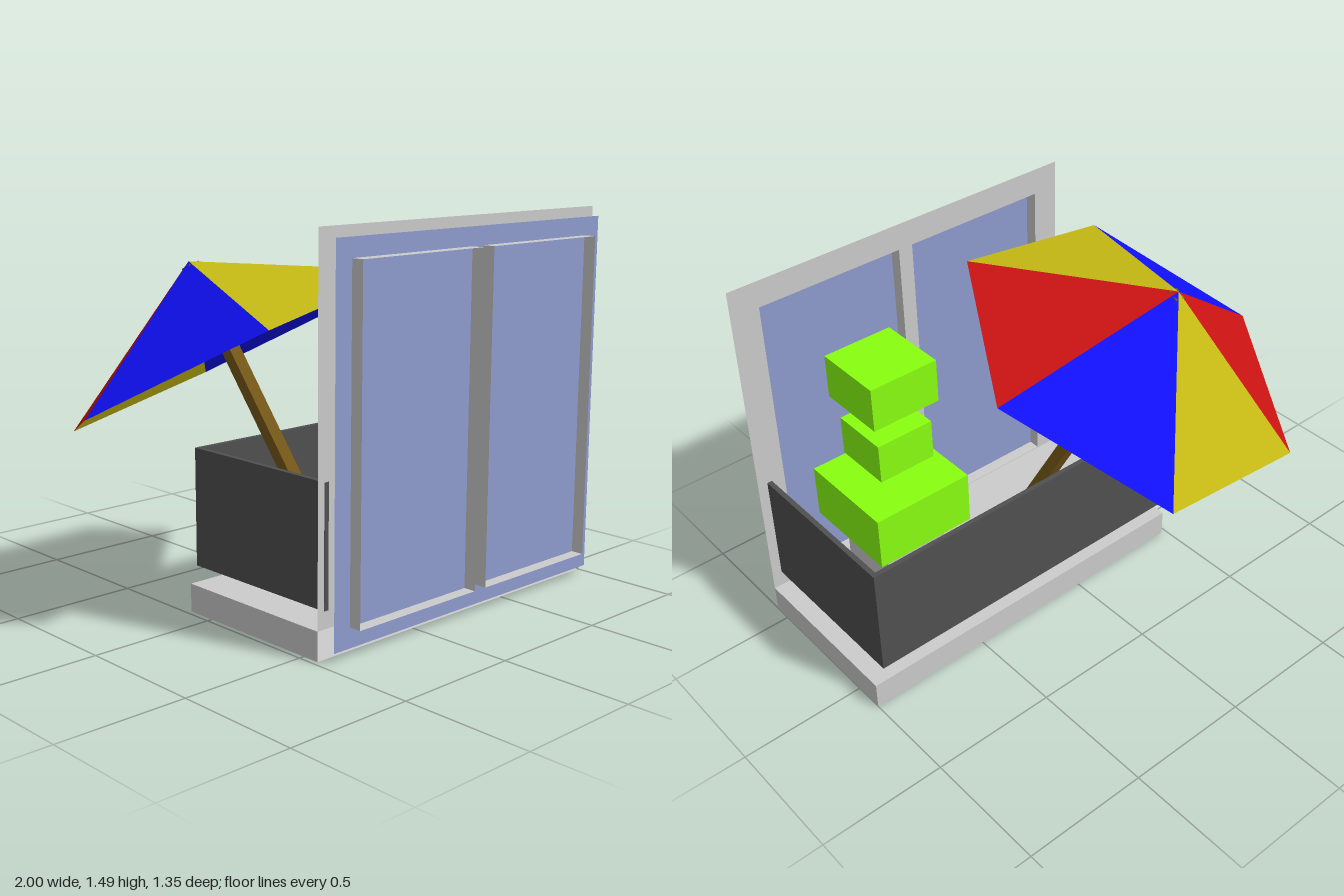
import * as THREE from 'three';

const V = (x, y, z) => new THREE.Vector3(x, y, z);

export function createModel() {
  const model = new THREE.Group();
  const mat = (color) => new THREE.MeshStandardMaterial({ color, flatShading: true, side: THREE.DoubleSide });
  const grey = mat(0xcccccc), dark = mat(0x505050), glass = mat(0x8e9cce);
  const green = mat(0x88ff10), brown = mat(0x785a18);
  const red = mat(0xcc1212), yellow = mat(0xc6ba14), blue = mat(0x1010ff);

  const add = (name, geometry, material, parent = model) => {
    const mesh = new THREE.Mesh(geometry, material);
    mesh.name = name;
    parent.add(mesh);
    return mesh;
  };
  // Box between two corners; faces listed in open (0..5 = +x -x +y -y +z -z) are left out
  const box = (name, material, [x0, x1], [y0, y1], [z0, z1], open = [], parent = model) => {
    const g = new THREE.BoxGeometry(x1 - x0, y1 - y0, z1 - z0);
    const index = Array.from(g.index.array).filter((_, i) => !open.includes(Math.floor(i / 6)));
    g.setIndex(index);
    g.clearGroups();
    g.translate((x0 + x1) / 2, (y0 + y1) / 2, (z0 + z1) / 2);
    return add(name, g, material, parent);
  };
  const rect = (path, [x0, x1], [y0, y1]) =>
    path.moveTo(x0, y0).lineTo(x1, y0).lineTo(x1, y1).lineTo(x0, y1).closePath();

  // Floor slab, open toward the wall
  box('floor', grey, [-0.48, 1], [0, 0.11], [-0.12, 0.57], [4]);

  // Wall sheet with two window openings, each lined by an open frame
  const windows = [[-0.375, 0.225], [0.285, 0.885]];
  const windowY = [0.113, 1.38];
  const wall = rect(new THREE.Shape(), [-0.48, 1], [0.11, 1.485]);
  windows.forEach((wx) => {
    wall.holes.push(rect(new THREE.Path(), wx, windowY));
    box('windowFrame', grey, wx, windowY, [0.57, 0.67], [4, 5]);
  });
  add('wall', new THREE.ShapeGeometry(wall), grey).position.z = 0.57;

  // Single glass sheet running behind both frames
  add('glass', new THREE.PlaneGeometry(1.42, 1.415), glass).position.set(0.26, 0.743, 0.62);

  // Railing panels on three sides
  const railY = [0.175, 0.63];
  box('backRailing', dark, [-0.45, 0.96], railY, [-0.12, -0.1]);
  box('rightRailing', dark, [-0.45, -0.43], railY, [-0.1, 0.571]);
  box('leftRailing', dark, [0.94, 0.96], railY, [-0.1, 0.571]);

  // Potted tree made of stacked blocks
  const tree = new THREE.Group();
  tree.name = 'pottedTree';
  model.add(tree);
  const block = (name, material, width, y) => box(name, material,
    [0.615 - width / 2, 0.615 + width / 2], y, [0.25 - width / 2, 0.25 + width / 2], [], tree);
  block('pot', grey, 0.265, [0.11, 0.48]);
  block('trunk', brown, 0.055, [0.48, 1.1]);
  block('lowerFoliage', green, 0.41, [0.48, 0.695]);
  block('middleFoliage', green, 0.235, [0.78, 0.94]);
  block('topFoliage', green, 0.28, [1.035, 1.21]);

  // Tilted six-sided parasol
  const parasol = new THREE.Group();
  parasol.name = 'parasol';
  model.add(parasol);
  const apex = V(-0.375, 1.305, -0.235);
  const rim = [
    V(-0.65, 0.64, -0.615), V(0.06, 0.775, -0.68), V(0.405, 1.105, -0.14),
    V(0.06, 1.295, 0.455), V(-0.65, 1.16, 0.52), V(-1, 0.83, -0.02),
  ];
  const colors = [yellow, blue, red];
  rim.forEach((p, i) => {
    const g = new THREE.BufferGeometry().setFromPoints([apex, rim[(i + 1) % 6], p]);
    g.computeVertexNormals();
    add('canopyPanel', g, colors[i % 3], parasol);
  });

  // Pole along the canopy axis, down into the floor
  const foot = V(-0.073, 0.035, 0.348);
  const axis = apex.clone().sub(foot);
  const length = axis.length() - 0.015;
  axis.normalize();
  const pole = add('pole', new THREE.BoxGeometry(0.05, length, 0.05), brown, parasol);
  pole.position.copy(foot).addScaledVector(axis, length / 2);
  pole.quaternion.setFromUnitVectors(V(0, 1, 0), axis);

  return model;
}
